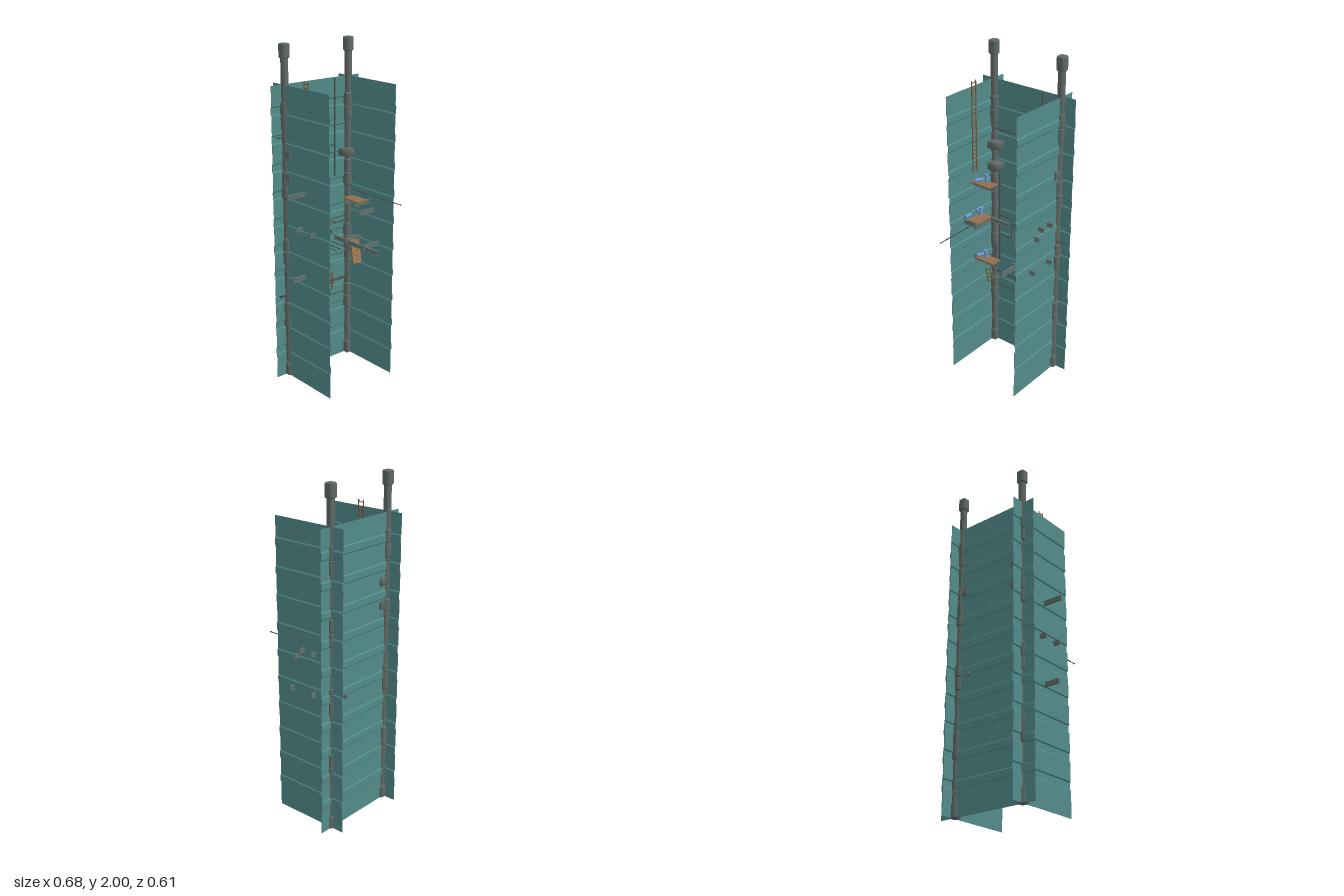
import * as THREE from 'three';
import { toCreasedNormals } from 'three/addons/utils/BufferGeometryUtils.js';

const mat = (name, color) => {
  const m = new THREE.MeshStandardMaterial({ color });
  m.name = name;
  return m;
};

export function createModel() {
  const root = new THREE.Group();
  root.name = 'scaffoldShaft';
  const teal = mat('teal sheet', 0x528c8a);
  const grey = mat('column grey', 0x5f6966);
  const beamGrey = mat('beam grey', 0x5f6f6c);
  const dark = mat('pipe grey', 0x4a5452);
  const wood = mat('plank brown', 0x95714e);
  const rust = mat('ladder brown', 0x7d5634);
  const blue = mat('barrel blue', 0x6c9bd2);
  const V = (x, y, z) => new THREE.Vector3(x, y, z);
  const Y = V(0, 1, 0);

  const add = (name, geo, m, x = 0, y = 0, z = 0, parent = root) => {
    const mesh = new THREE.Mesh(geo, m);
    mesh.name = name;
    mesh.position.set(x, y, z);
    parent.add(mesh);
    return mesh;
  };
  const group = (name, x = 0, y = 0, z = 0) => {
    const g = new THREE.Group();
    g.name = name;
    g.position.set(x, y, z);
    root.add(g);
    return g;
  };
  const box = (name, m, w, h, d, x, y, z, parent) =>
    add(name, new THREE.BoxGeometry(w, h, d), m, x, y, z, parent);

  // Ribbed sheet walls
  const H = 1.775, T = 0.0025;
  const profile = [[0, 0]];
  for (let i = 0; i < 10; i++) {
    const c = 0.177 + 0.1617 * i;
    profile.push([0, c - 0.025], [0.005, c - 0.019], [0.005, c + 0.019], [0, c + 0.025]);
  }
  profile.push([0, H]);
  const sheet = (length) => {
    const outline = [
      ...profile.map(([d, y]) => new THREE.Vector2(d - T, y)),
      ...profile.map(([d, y]) => new THREE.Vector2(d, y)).reverse(),
    ].reverse();
    return new THREE.ExtrudeGeometry(new THREE.Shape(outline), { depth: length, bevelEnabled: false });
  };
  add('rightWall', sheet(0.485), teal, -0.221, 0, -0.305);
  add('leftWall', sheet(0.485), teal, 0.258, 0, -0.305);
  add('backWall', sheet(0.64), teal, -0.3, 0, -0.223).rotation.y = Math.PI / 2;

  // Square prism with cut corners and bevelled ends
  const prism = (w, h, cut) => {
    const a = w / 2, b = a - cut, e = cut * 0.6;
    const k = [[b, -a], [a, -b], [a, b], [b, a], [-b, a], [-a, b], [-a, -b], [-b, -a]];
    const s = (a - e) / a;
    const shape = new THREE.Shape(k.map(([x, y]) => new THREE.Vector2(x * s, y * s)));
    const g = new THREE.ExtrudeGeometry(shape, {
      depth: h - 2 * e, bevelEnabled: true, bevelThickness: e, bevelSize: e, bevelSegments: 1,
    });
    g.translate(0, 0, e);
    g.rotateX(-Math.PI / 2);
    return g;
  };

  // Columns of five stacked lengths with a collar at each end
  const shaftGeo = prism(0.038, 0.4, 0.008), collarGeo = prism(0.052, 0.08, 0.008);
  for (const x of [-0.212, 0.251]) {
    const col = group('column', x, 0, -0.213);
    for (let i = 0; i < 5; i++) {
      add('columnShaft', shaftGeo, grey, 0, i * 0.4, 0, col);
      add('columnCollar', collarGeo, grey, 0, i * 0.4, 0, col);
      add('columnCollar', collarGeo, grey, 0, i * 0.4 + 0.32, 0, col);
    }
  }

  // Duct elbows bending round the columns
  const elbowShape = new THREE.Shape();
  elbowShape.moveTo(-0.228, 0.162);
  elbowShape.lineTo(-0.185, 0.162);
  elbowShape.quadraticCurveTo(-0.148, 0.164, -0.148, 0.205);
  elbowShape.lineTo(-0.148, 0.234);
  elbowShape.lineTo(-0.182, 0.234);
  elbowShape.lineTo(-0.182, 0.215);
  elbowShape.quadraticCurveTo(-0.184, 0.197, -0.2, 0.196);
  elbowShape.lineTo(-0.228, 0.196);
  const elbowGeo = toCreasedNormals(new THREE.ExtrudeGeometry(elbowShape, {
    depth: 0.034, bevelEnabled: true, bevelSize: 0.003, bevelThickness: 0.006, bevelSegments: 1,
    curveSegments: 8,
  }).rotateX(-Math.PI / 2), 0.6);
  const mirrorElbow = elbowGeo.clone().rotateZ(Math.PI).translate(0.04, 0.034, 0);
  for (const y of [1.37, 1.235]) add('ductElbow', elbowGeo, grey, 0, y, 0);
  add('ductElbow', mirrorElbow, grey, 0, 1.31, 0);

  // Pipes with rounded bends and coupling rings
  const pipe = (r, ...p) => {
    const pts = p.map((q) => V(...q));
    const path = new THREE.CurvePath();
    let from = pts[0];
    for (let i = 1; i < pts.length - 1; i++) {
      const a = pts[i].clone().add(pts[i - 1].clone().sub(pts[i]).setLength(0.025));
      const b = pts[i].clone().add(pts[i + 1].clone().sub(pts[i]).setLength(0.025));
      path.add(new THREE.LineCurve3(from, a));
      path.add(new THREE.QuadraticBezierCurve3(a, pts[i], b));
      from = b;
    }
    path.add(new THREE.LineCurve3(from, pts[pts.length - 1]));
    const g = group('pipe');
    add('pipeRun', new THREE.TubeGeometry(path, pts.length > 2 ? 90 : 1, r, 8), dark, 0, 0, 0, g);
    const n = Math.max(2, Math.round(path.getLength() / 0.055));
    const ringGeo = new THREE.CylinderGeometry(r * 1.6, r * 1.6, 0.005, 8);
    for (let i = 0; i <= n; i++) {
      const c = path.getPointAt(i / n);
      add('pipeRing', ringGeo, dark, c.x, c.y, c.z, g)
        .quaternion.setFromUnitVectors(Y, path.getTangentAt(i / n));
    }
  };
  pipe(0.004, [-0.275, 1.485, -0.2], [0.055, 1.485, -0.2], [0.055, 1.385, -0.2], [0.135, 1.385, -0.2]);
  pipe(0.004, [0.137, 1.2, -0.2], [0.137, 1.77, -0.2]);
  pipe(0.004, [0.305, 0.9, -0.2], [-0.07, 0.9, -0.2], [-0.07, 0.8, -0.2], [-0.16, 0.8, -0.2]);
  pipe(0.003, [-0.18, 0.925, -0.212], [0.22, 0.925, -0.212]);
  pipe(0.004, [-0.27, 0.532, -0.2], [0.24, 0.532, -0.2]);
  pipe(0.004, [-0.27, 0.52, -0.212], [0.24, 0.52, -0.212]);
  pipe(0.003, [-0.25, 0.43, -0.212], [0.3, 0.43, -0.212]);
  pipe(0.004, [-0.162, 0.62, -0.2], [-0.162, 1.2, -0.2]);
  pipe(0.004, [-0.185, 0.57, -0.19], [-0.185, 0.73, -0.19]);
  pipe(0.0025, [-0.18, 0.95, -0.16], [-0.18, 0.95, 0.305]);
  pipe(0.0025, [-0.198, 0.936, -0.16], [-0.198, 0.936, 0.235]);
  pipe(0.0025, [-0.212, 0.925, -0.16], [-0.212, 0.925, 0.22]);
  pipe(0.0025, [0.255, 1.093, -0.16], [0.255, 1.093, 0.24]);

  // Flanged beams, laid along x or along z
  const beam = (x0, x1, y, z) => {
    const g = group('beam', (x0 + x1) / 2, y, z), L = x1 - x0;
    for (const s of [-1, 1]) box('beamFlange', beamGrey, L, 0.004, 0.014, 0, s * 0.011, 0, g);
    box('beamWeb', beamGrey, L, 0.02, 0.004, 0, 0, 0, g);
    return g;
  };
  const beamZ = (z0, z1, y, x) => {
    const g = beam(z0, z1, y, 0);
    g.position.set(x, y, (z0 + z1) / 2);
    g.rotation.y = Math.PI / 2;
  };
  beam(-0.345, -0.073, 1.19, -0.034);
  beam(-0.262, 0.012, 0.973, -0.067);
  beam(-0.262, 0.012, 0.973, -0.067 + 0.0001).visible = false;
  beam(-0.262, -0.115, 0.973, 0.055);
  beam(-0.318, -0.045, 0.695, -0.034);
  beamZ(-0.075, 0.078, 0.973, -0.119);
  beamZ(-0.243, 0.168, 0.8, 0.153);
  for (const [y, z] of [[1.05, -0.107], [1.055, -0.025], [1.01, 0.015], [0.81, -0.107], [0.81, 0.053]])
    beam(0.138, 0.297, y, z);

  // Plank decks: three boards side by side
  const deck = (name, w, d, x, y, z, alongX, n = 3) => {
    const g = group(name, x, y, z);
    for (let i = 0; i < n; i++) {
      const o = (i + 0.5) / n - 0.5;
      if (alongX) box('plank', wood, w - 0.006 * (i % 2), 0.008, d / n - 0.002, 0, 0, o * d, g);
      else box('plank', wood, w / n - 0.002, 0.008, d - 0.006 * (i % 2), o * w, 0, 0, g);
    }
    return g;
  };
  deck('upperDeck', 0.14, 0.07, -0.143, 1.207, -0.035, true);
  deck('middleDeck', 0.075, 0.128, -0.153, 0.99, -0.003, false);
  deck('lowerDeck', 0.14, 0.07, -0.12, 0.712, -0.035, true);
  deck('sideDeck', 0.074, 0.135, 0.18, 1.07, -0.068, false);
  const fallen = deck('hangingPlanks', 0.07, 0.15, 0.183, 0.745, -0.06, false, 2);
  fallen.rotation.set(1.15, 0, -0.22, 'ZXY');

  // Ladders: two rails and evenly spaced rungs
  const ladder = (name, x, y, z, w, h, n) => {
    const g = group(name, x, y, z);
    for (const s of [-1, 1]) box('ladderRail', rust, 0.005, h, 0.004, s * w / 2, 0, 0, g);
    for (let i = 0; i < n; i++)
      box('ladderRung', rust, w, 0.004, 0.004, 0, ((i + 0.5) / n - 0.5) * h, 0, g);
    return g;
  };
  ladder('wallLadder', -0.207, 1.538, -0.03, 0.034, 0.55, 22).rotation.y = Math.PI / 2;
  ladder('brokenLadder', -0.068, 0.645, 0.014, 0.027, 0.1, 4).rotation.set(0, 0.55, 0.15);

  // Ribbed barrels, standing or lying at a heading
  const q = [[0, 0], [0.011, 0], [0.011, 0.015], [0.0125, 0.017], [0.011, 0.019], [0.011, 0.033],
    [0.0125, 0.035], [0.011, 0.037], [0.011, 0.05], [0, 0.05]];
  const barrelGeo = toCreasedNormals(new THREE.LatheGeometry(
    q.map(([r, y]) => new THREE.Vector2(r, y - 0.025)), 14), 0.6);
  const standing = (x, y, z) => add('barrel', barrelGeo, blue, x, y + 0.025, z);
  const lying = (x, y, z, heading) =>
    add('barrel', barrelGeo, blue, x, y + 0.0125, z).rotation.set(Math.PI / 2, heading, 0, 'YXZ');
  standing(-0.135, 1.211, -0.05);
  lying(-0.173, 1.211, -0.028, -0.55);
  standing(-0.17, 0.994, -0.035);
  lying(-0.205, 0.995, 0.04, 0);
  lying(-0.205, 0.995, -0.063, 0);
  standing(-0.138, 0.716, -0.04);
  lying(-0.168, 0.716, -0.03, -0.5);

  // Drop the spare beam
  root.children.filter((c) => !c.visible).forEach((c) => root.remove(c));
  return root;
}
